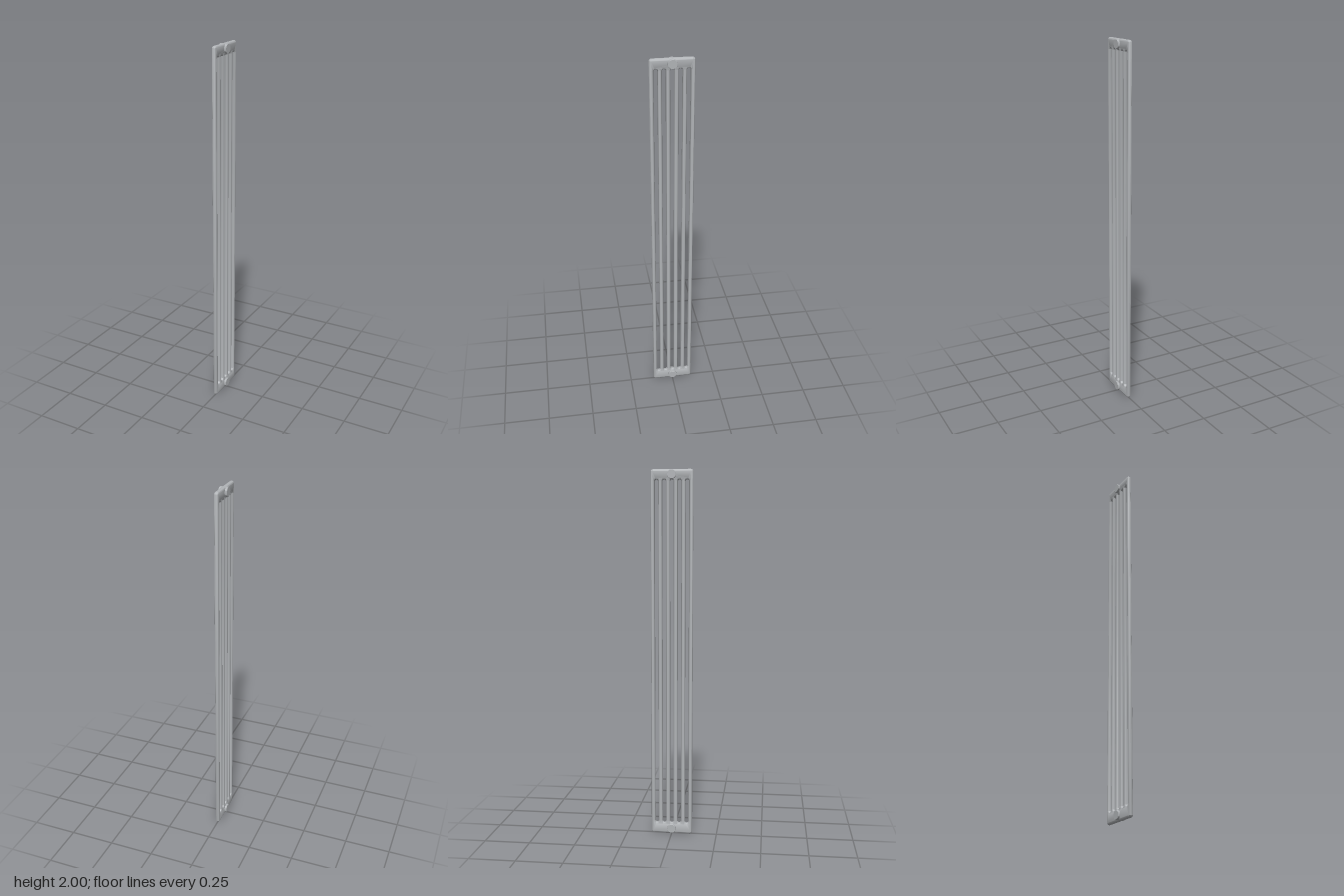
import * as THREE from 'three';
import { toCreasedNormals } from 'three/addons/utils/BufferGeometryUtils.js';

const COLUMNS = 6, PITCH = 0.0412, TUBE_W = 0.0228, HALF_T = 0.0118;
const SLOT_BOTTOM = 0.062, SLOT_TOP = 1.945;

// Upright rectangle with rounded corners
function roundedRect(target, x0, y0, x1, y1, r) {
  target.moveTo(x1, y0 + r);
  target.lineTo(x1, y1 - r);
  target.absarc(x1 - r, y1 - r, r, 0, Math.PI / 2);
  target.absarc(x0 + r, y1 - r, r, Math.PI / 2, Math.PI);
  target.absarc(x0 + r, y0 + r, r, Math.PI, Math.PI * 1.5);
  target.absarc(x1 - r, y0 + r, r, Math.PI * 1.5, Math.PI * 2);
  return target;
}

export function createModel() {
  const group = new THREE.Group();
  group.name = 'radiatorSection';
  const enamel = new THREE.MeshStandardMaterial({ color: 0xb0b3b6 });
  enamel.name = 'greyEnamel';

  // Round columns joined by top and bottom heads, with slots between them
  const half = ((COLUMNS - 1) * PITCH + TUBE_W) / 2;
  const outline = roundedRect(new THREE.Shape(), -half, 0, half, 2, 0.0145);
  const slotHalf = (PITCH - TUBE_W) / 2;
  for (let i = 0; i < COLUMNS - 1; i++) {
    const c = (i - (COLUMNS - 2) / 2) * PITCH;
    outline.holes.push(roundedRect(new THREE.Path(),
      c - slotHalf, SLOT_BOTTOM, c + slotHalf, SLOT_TOP, slotHalf - 0.0001));
  }
  const depth = 0.0004, bevel = 0.0112;
  const bodyGeo = new THREE.ExtrudeGeometry(outline, {
    depth, curveSegments: 8, bevelEnabled: true, bevelSegments: 6,
    bevelSize: bevel, bevelOffset: -bevel, bevelThickness: HALF_T - depth / 2,
  });
  bodyGeo.translate(0, 0, -depth / 2);
  bodyGeo.rotateY(Math.PI / 2);
  const body = new THREE.Mesh(toCreasedNormals(bodyGeo, 0.7), enamel);
  body.name = 'columnsAndHeads';
  group.add(body);

  // Connecting hubs through both heads, with lightly eased rims
  const r = 0.0243, h = 0.023, e = 0.0015;
  const profile = [[0, -h], [r - e, -h], [r, -h + e], [r, h - e], [r - e, h], [0, h]]
    .map(([x, y]) => new THREE.Vector2(x, y));
  const hubGeo = toCreasedNormals(new THREE.LatheGeometry(profile, 32).rotateZ(Math.PI / 2), 0.5);
  for (const [name, y] of [['topHub', 1.973], ['bottomHub', 0.03]]) {
    const hub = new THREE.Mesh(hubGeo, enamel);
    hub.name = name;
    hub.position.y = y;
    group.add(hub);
  }
  return group;
}
